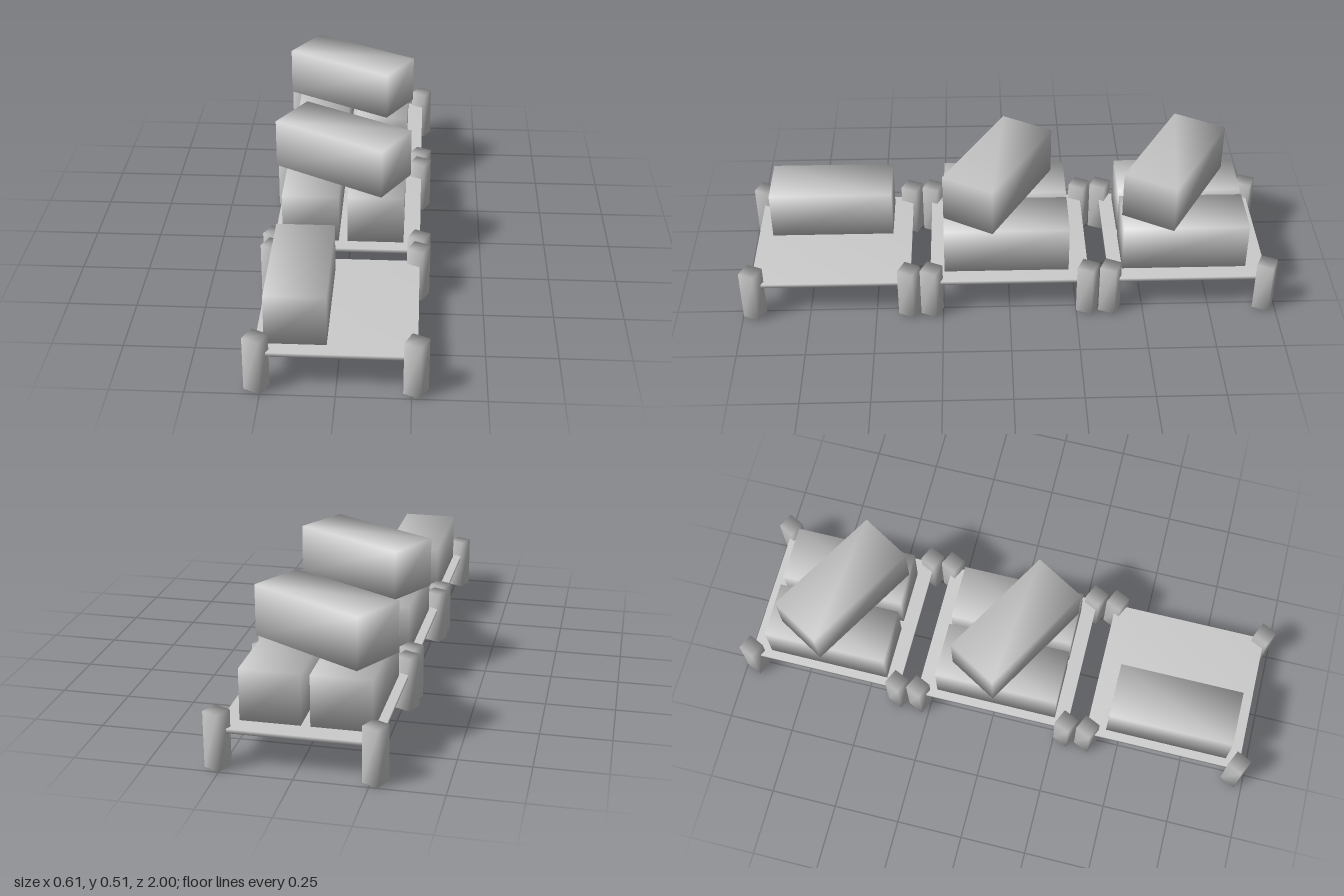
import * as THREE from 'three';
import { mergeVertices } from 'three/addons/utils/BufferGeometryUtils.js';

const material = new THREE.MeshStandardMaterial({ color: 0xcccccc });

// Box with shared corners, so its normals are smooth across the edges
function softBox(w, h, d) {
  const box = new THREE.BoxGeometry(w, h, d);
  box.deleteAttribute('uv');
  box.deleteAttribute('normal');
  const geometry = mergeVertices(box);
  geometry.computeVertexNormals();
  return geometry;
}

const slabGeometry = softBox(0.54, 0.015, 0.592);
const legGeometry = softBox(0.063, 0.202, 0.063);
const crateGeometry = softBox(0.208, 0.184, 0.465);
const topCrateGeometry = softBox(0.467, 0.185, 0.209);

// Places a part by its base height
function add(parent, name, geometry, x, base, z, turn = 0) {
  const mesh = new THREE.Mesh(geometry, material);
  geometry.computeBoundingBox();
  mesh.name = name;
  mesh.position.set(x, base - geometry.boundingBox.min.y, z);
  mesh.rotation.y = THREE.MathUtils.degToRad(turn);
  parent.add(mesh);
}

// Low platform on four turned legs
function createPlatform() {
  const platform = new THREE.Group();
  platform.name = 'platform';
  add(platform, 'slab', slabGeometry, -0.002, 0.125, 0);
  for (const x of [-0.264, 0.264])
    for (const z of [-0.291, 0.291]) add(platform, 'leg', legGeometry, x, 0, z, -25);
  return platform;
}

export function createModel() {
  const model = new THREE.Group();
  model.name = 'loadedPlatforms';

  // Three platforms in a row; the front one carries a single crate
  [0.666, 0, -0.666].forEach((z, i) => {
    const platform = createPlatform();
    platform.position.z = z;
    add(platform, 'rightCrate', crateGeometry, -0.137, 0.14, 0.01);
    if (i > 0) {
      add(platform, 'leftCrate', crateGeometry, 0.103, 0.14, 0.01);
      add(platform, 'topCrate', topCrateGeometry, -0.027, 0.328, 0.036, -30);
    }
    model.add(platform);
  });
  return model;
}
